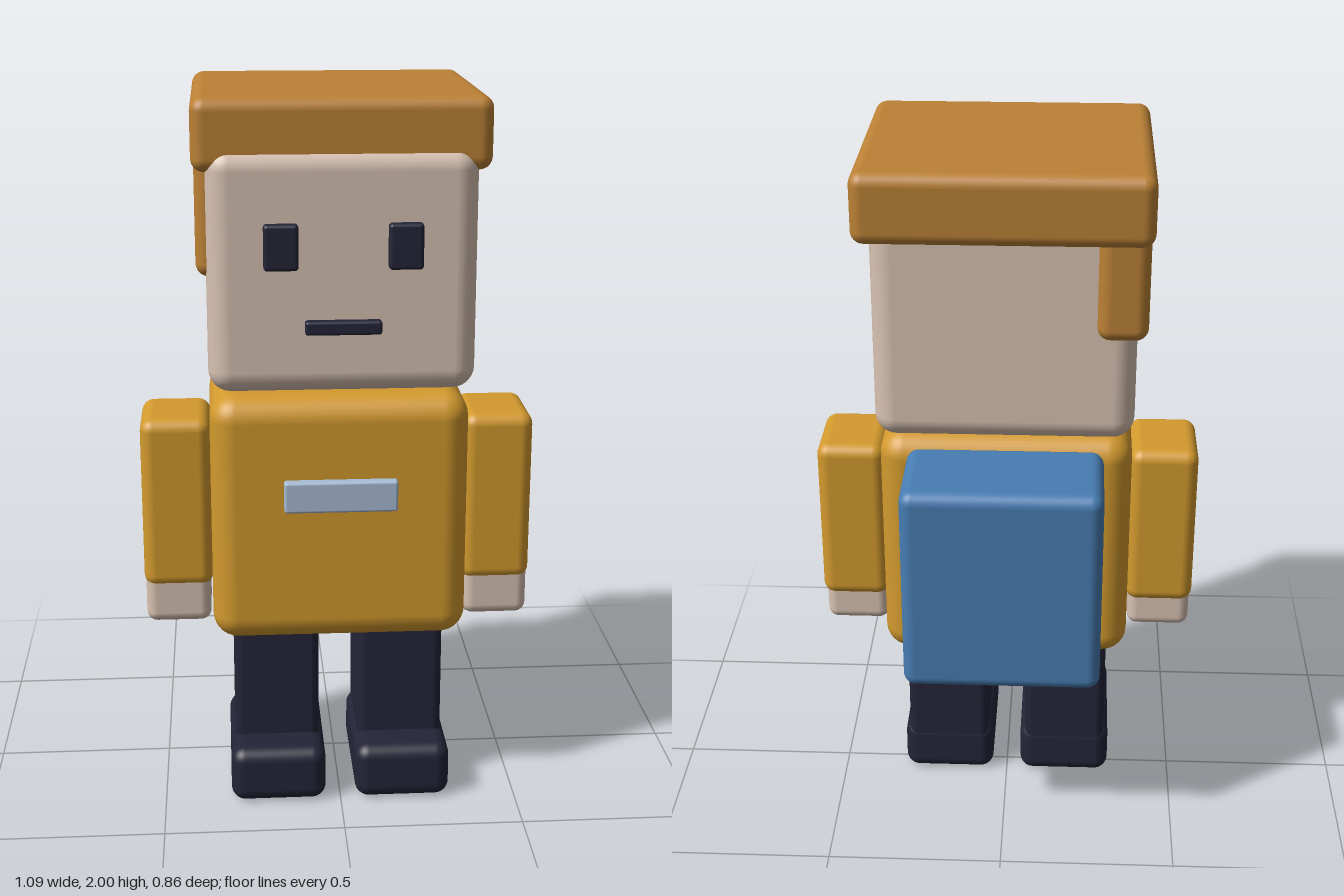
import * as THREE from 'three';
import { RoundedBoxGeometry } from 'three/addons/geometries/RoundedBoxGeometry.js';

function material(name, color) {
  const m = new THREE.MeshStandardMaterial({ color });
  m.name = name;
  return m;
}

export function createModel() {
  const skin = material('skin', 0xd8c2b2);
  const hair = material('hair', 0xbb8136);
  const shirt = material('shirt', 0xd39a2e);
  const navy = material('navy', 0x242438);
  const blue = material('blue', 0x487db3);
  const paleBlue = material('paleBlue', 0xa8bdd6);

  const model = new THREE.Group();
  model.name = 'blockFigure';

  // Rounded block given by its [min, max] extents on each axis
  function block(name, mat, [x0, x1], [y0, y1], [z0, z1], radius) {
    const geometry = new RoundedBoxGeometry(x1 - x0, y1 - y0, z1 - z0, 4, radius);
    const mesh = new THREE.Mesh(geometry, mat);
    mesh.name = name;
    mesh.position.set((x0 + x1) / 2, (y0 + y1) / 2, (z0 + z1) / 2);
    model.add(mesh);
    return mesh;
  }

  // The same block on both sides of the body, given for +x
  function pair(name, mat, [x0, x1], y, z, radius) {
    block(name + 'Left', mat, [x0, x1], y, z, radius);
    block(name + 'Right', mat, [-x1, -x0], y, z, radius);
  }

  // Head and hair, with a side lock on the model's right
  block('head', skin, [-0.353, 0.353], [1.23, 1.875], [-0.24, 0.405], 0.06);
  block('hairTop', hair, [-0.387, 0.387], [1.81, 2.0], [-0.322, 0.387], 0.035);
  block('hairLock', hair, [-0.38, -0.245], [1.535, 1.9], [-0.27, 0.36], 0.035);

  // Face
  pair('eye', navy, [0.116, 0.206], [1.565, 1.685], [0.39, 0.43], 0.01);
  block('mouth', navy, [-0.1, 0.1], [1.395, 1.432], [0.39, 0.43], 0.008);

  // Torso, chest badge and backpack
  block('torso', shirt, [-0.354, 0.354], [0.487, 1.193], [-0.16, 0.323], 0.07);
  block('chestBadge', paleBlue, [-0.155, 0.155], [0.878, 0.966], [0.31, 0.35], 0.008);
  block('backpack', blue, [-0.274, 0.274], [0.553, 1.162], [-0.434, -0.13], 0.035);

  // Arms and hands
  pair('arm', shirt, [0.352, 0.547], [0.612, 1.105], [-0.045, 0.21], 0.035);
  pair('hand', skin, [0.36, 0.543], [0.503, 0.66], [-0.003, 0.202], 0.03);

  // Legs and shoes
  pair('leg', navy, [0.056, 0.298], [0.06, 0.56], [-0.068, 0.235], 0.025);
  pair('shoe', navy, [0.042, 0.312], [0, 0.162], [-0.07, 0.35], 0.04);

  return model;
}
